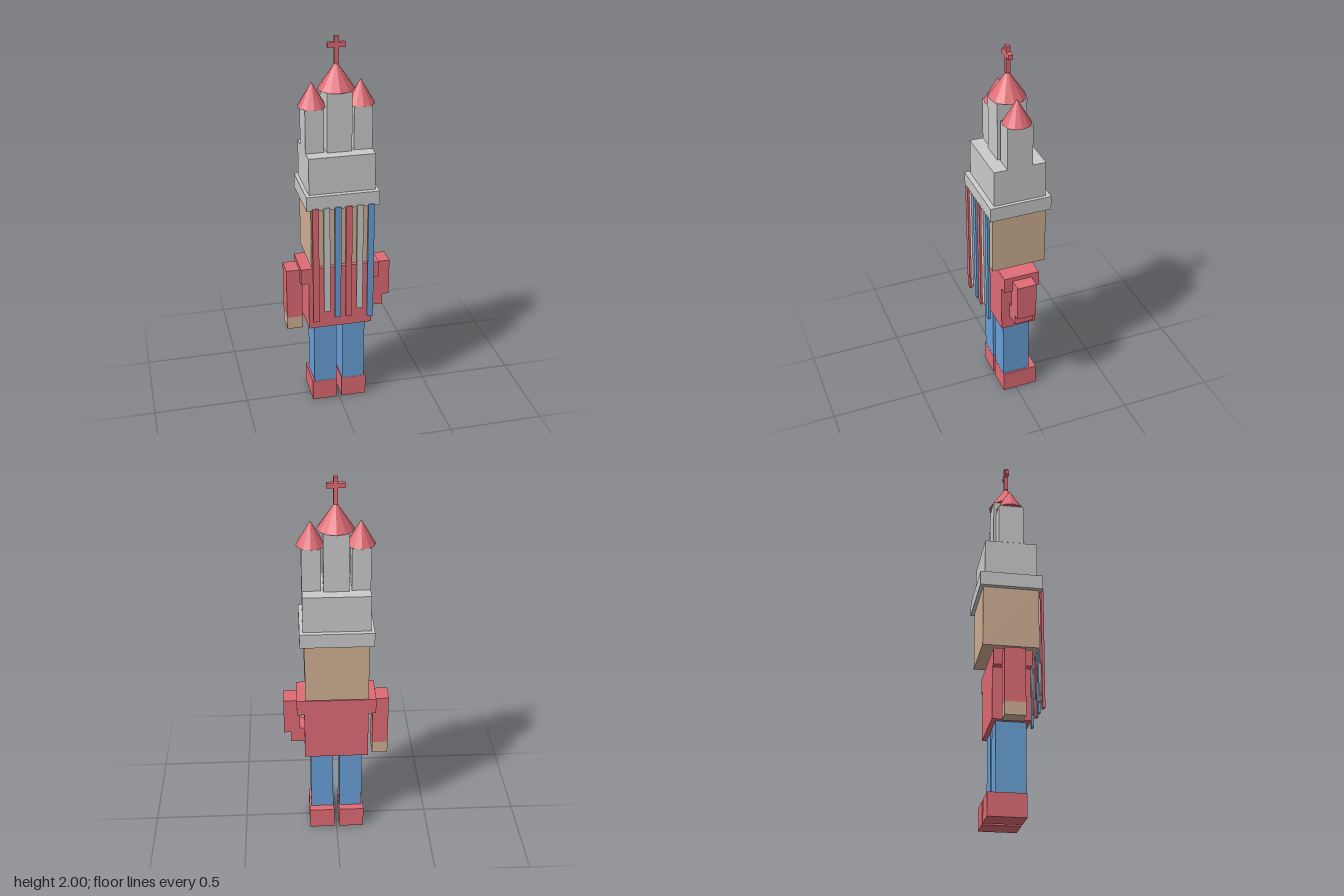
import * as THREE from 'three';

const material = (color) => new THREE.MeshStandardMaterial({ color, flatShading: true });

export function createModel() {
  const model = new THREE.Group();
  const red = material(0xe06c75);
  const blue = material(0x6aa2d9);
  const skin = material(0xd2b295);
  const grey = material(0xcccccc);

  const add = (name, geometry, mat, x, y, z) => {
    const mesh = new THREE.Mesh(geometry, mat);
    mesh.name = name;
    mesh.position.set(x, y, z);
    model.add(mesh);
  };
  // Box given by its extents on each axis
  const box = (name, mat, [x0, x1], [y0, y1], [z0, z1]) =>
    add(name, new THREE.BoxGeometry(x1 - x0, y1 - y0, z1 - z0), mat,
      (x0 + x1) / 2, (y0 + y1) / 2, (z0 + z1) / 2);
  const around = (c, half) => [c - half, c + half];
  const axisZ = -0.005;

  // Legs and shoes
  for (const [side, s] of [['left', 1], ['right', -1]]) {
    box(side + 'Leg', blue, around(s * 0.077, 0.06), [0.115, 0.47], [-0.077, 0.072]);
    box(side + 'Shoe', red, around(s * 0.08, 0.067), [0, 0.116], [-0.117, 0.073]);
  }

  // Torso and shoulders
  box('torso', red, [-0.167, 0.167], [0.468, 0.82], [-0.099, 0.092]);
  box('shoulders', red, [-0.206, 0.206], [0.735, 0.82], [-0.099, 0.092]);

  // Straight right arm with its hand, bent left arm reaching into the pocket
  const armZ = [-0.056, 0.047];
  box('rightArm', red, [-0.275, -0.192], [0.52, 0.798], armZ);
  box('rightHand', skin, [-0.275, -0.192], [0.453, 0.52], armZ);
  box('leftUpperArm', red, [0.19, 0.275], [0.6, 0.798], armZ);
  box('leftForearm', red, [0.16, 0.24], [0.541, 0.625], armZ);

  // Neck and head
  box('neck', skin, [-0.055, 0.055], [0.81, 0.86], [-0.054, 0.053]);
  box('head', skin, [-0.162, 0.162], [0.855, 1.19], [-0.147, 0.138]);

  // Coloured strips hanging in front of the face
  const strips = [[red, 0.545], [grey, 0.6], [blue, 0.56], [red, 0.56], [grey, 0.6], [blue, 0.545]];
  strips.forEach(([mat, bottom], i) =>
    box('strip' + (i + 1), mat, around((i - 2.5) * 0.0568, 0.016), [bottom, 1.185], [0.15, 0.163]));

  // Castle-shaped hat
  box('hatBrim', grey, [-0.186, 0.186], [1.175, 1.25], [-0.165, 0.156]);
  box('hatBody', grey, [-0.168, 0.168], [1.25, 1.44], [-0.14, 0.13]);

  // Towers with pointed roofs
  const tower = (name, x, halfX, halfZ, top, radius, height) => {
    box(name, grey, around(x, halfX), [1.44, top], around(axisZ, halfZ));
    add(name + 'Roof', new THREE.ConeGeometry(radius, height, 12), red, x, top + height / 2, axisZ);
  };
  tower('middleTower', 0, 0.063, 0.076, 1.742, 0.092, 0.136);
  tower('leftTower', 0.122, 0.047, 0.065, 1.66, 0.072, 0.122);
  tower('rightTower', -0.122, 0.047, 0.065, 1.66, 0.072, 0.122);

  // Cross on the middle roof
  box('crossPost', red, around(0, 0.011), [1.865, 2], around(axisZ, 0.011));
  box('crossBar', red, around(0, 0.045), [1.946, 1.97], around(axisZ, 0.011));

  return model;
}
